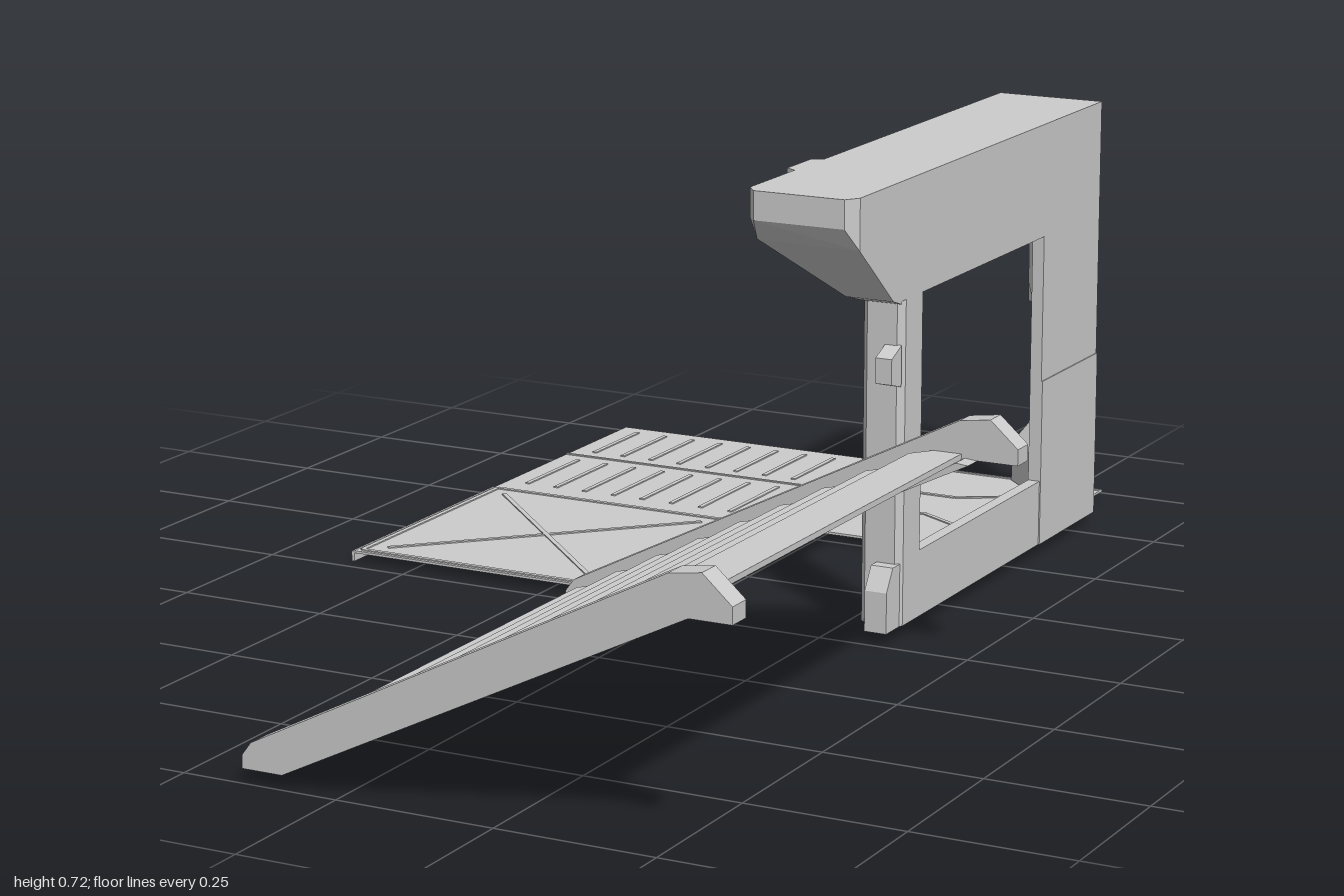
import * as THREE from 'three';
import { ConvexGeometry } from 'three/addons/geometries/ConvexGeometry.js';

const grey = new THREE.MeshStandardMaterial({ color: 0xcccccc, flatShading: true, side: THREE.DoubleSide });

function add(parent, name, geometry) {
  const mesh = new THREE.Mesh(geometry, grey);
  mesh.name = name;
  parent.add(mesh);
  return mesh;
}

// Box given by its minimum and maximum corners
function box(parent, name, x0, x1, y0, y1, z0, z1) {
  const mesh = add(parent, name, new THREE.BoxGeometry(x1 - x0, y1 - y0, z1 - z0));
  mesh.position.set((x0 + x1) / 2, (y0 + y1) / 2, (z0 + z1) / 2);
  return mesh;
}

const outline = (pts) => new THREE.Shape(pts.map((p) => new THREE.Vector2(p[0], p[1])));

// Outline in x and y, extruded from z0 to z1
function prism(parent, name, pts, z0, z1) {
  const g = new THREE.ExtrudeGeometry(outline(pts), { depth: z1 - z0, bevelEnabled: false });
  return add(parent, name, g.translate(0, 0, z0));
}

// Plan outline in x and z, extruded from y0 up to y1
function slab(parent, name, pts, y0, y1) {
  const g = new THREE.ExtrudeGeometry(outline(pts.map(([x, z]) => [x, -z])), { depth: y1 - y0, bevelEnabled: false });
  return add(parent, name, g.rotateX(-Math.PI / 2).translate(0, y0, 0));
}

function hull(parent, name, pts) {
  return add(parent, name, new ConvexGeometry(pts.map((p) => new THREE.Vector3(...p))));
}

function buildStairs() {
  const stairs = new THREE.Group();
  stairs.name = 'stairs';
  const side = [[-0.155, 0.02], [-0.155, 0.04], [-0.14, 0.06], [0.515, 0.393], [0.565, 0.4],
    [0.61, 0.36], [0.61, 0.335], [0.545, 0.335], [-0.09, 0.02]];
  const flange = [[-0.1, 0.02], [-0.09, 0.02], [0.545, 0.335], [0.525, 0.337], [-0.1, 0.027]];
  prism(stairs, 'stringer', side, 0.04, 0.077);
  prism(stairs, 'stringer', side, 0.957, 0.996);
  prism(stairs, 'stringerFlange', flange, 0.045, 0.11);
  prism(stairs, 'stringerFlange', flange, 0.933, 0.99);
  // Open treads with clipped front corners
  const run = 0.0706;
  for (let i = 0; i < 9; i++) {
    const x = -0.116 + i * run, y = 0.05 + i * 0.0355;
    slab(stairs, 'tread', [[x, 0.11], [x + 0.025, 0.078], [x + run, 0.078], [x + run, 0.956],
      [x + 0.025, 0.956], [x, 0.925]], y, y + 0.009);
  }
  return stairs;
}

function buildFloor() {
  const floor = new THREE.Group();
  floor.name = 'floor';
  const top = 0.018;
  slab(floor, 'floorPlate', [[-0.61, -0.96], [0.32, -0.96], [0.32, -0.495], [-0.15, -0.495],
    [-0.15, -0.03], [-0.61, -0.03]], 0.014, top);
  box(floor, 'edgeSkirt', -0.615, -0.61, 0, 0.017, -0.49, -0.03);

  // Thin raised strip between two plan points
  const strip = (name, x0, z0, x1, z1, w = 0.008) => {
    const m = add(floor, name, new THREE.BoxGeometry(Math.hypot(x1 - x0, z1 - z0), 0.002, w));
    m.position.set((x0 + x1) / 2, top + 0.001, (z0 + z1) / 2);
    m.rotation.y = -Math.atan2(z1 - z0, x1 - x0);
  };
  // Crossed panel
  strip('crossRib', -0.57, -0.45, -0.19, -0.07);
  strip('crossRib', -0.57, -0.07, -0.19, -0.45);
  strip('panelSeam', -0.6, -0.48, -0.16, -0.48);
  strip('panelSeam', -0.6, -0.04, -0.16, -0.04);
  strip('panelSeam', -0.6, -0.48, -0.6, -0.04);
  strip('panelSeam', -0.16, -0.48, -0.16, -0.04);
  // Two rows of ribs
  for (const [a, b] of [[-0.93, -0.77], [-0.71, -0.53]]) {
    for (let i = 0; i < 8; i++) strip('floorRib', -0.57 + i * 0.056, a, -0.57 + i * 0.056, b);
  }
  strip('panelSeam', -0.61, -0.74, -0.15, -0.74, 0.006);
  strip('panelSeam', -0.08, -0.83, -0.08, -0.63, 0.006);
  strip('panelSeam', -0.13, -0.95, 0.32, -0.95, 0.006);
  // Mirrored wavy ribs
  const wave = [[-0.08, 0.1], [-0.03, 0.1], [0.05, 0.06], [0.12, 0.06], [0.19, 0.1], [0.28, 0.1]];
  for (const s of [-1, 1]) {
    for (let i = 1; i < wave.length; i++) {
      strip('waveRib', wave[i - 1][0], -0.73 + s * wave[i - 1][1], wave[i][0], -0.73 + s * wave[i][1]);
    }
  }
  return floor;
}

function buildWall() {
  const wall = new THREE.Group();
  wall.name = 'wall';
  const out = 0.365;
  // Overhead beam with a sloping inner underside
  prism(wall, 'overheadBeam', [[out, 0.72], [0.183, 0.72], [0.183, 0.655], [0.295, 0.535], [out, 0.535]], -0.81, -0.04);
  hull(wall, 'beamShoulder', [[0.165, 0.72, -0.13], [0.165, 0.72, -0.05], [0.165, 0.63, -0.12], [0.165, 0.63, -0.05],
    [0.2, 0.72, -0.15], [0.2, 0.72, -0.03], [0.28, 0.53, -0.11], [0.295, 0.53, -0.04], [0.32, 0.56, -0.11], [0.32, 0.56, -0.04]]);
  // Overhanging beam nose
  const nose = [];
  for (const y of [0.72, 0.675]) {
    nose.push([0.183, y, -0.04], [out, y, -0.04], [0.183, y, 0.11], [0.2, y, 0.132], [0.35, y, 0.132], [out, y, 0.11]);
  }
  nose.push([0.19, 0.64, 0.1], [out, 0.64, 0.11], [0.183, 0.645, -0.04], [0.285, 0.54, -0.01],
    [out, 0.54, -0.01], [0.295, 0.53, -0.04], [out, 0.53, -0.04]);
  hull(wall, 'beamNose', nose);

  // Front post, back panel and sill frame the opening
  slab(wall, 'frontPost', [[0.295, -0.1], [0.295, -0.055], [0.305, -0.045], [0.355, -0.045], [out, -0.055],
    [out, -0.115], [0.31, -0.115]], 0.02, 0.54);
  box(wall, 'backPanel', 0.345, out, 0.02, 0.54, -0.81, -0.58);
  box(wall, 'lowerCladding', 0.36, 0.367, 0.02, 0.295, -0.81, -0.58);
  const sill = [[out, 0.02], [out, 0.127], [0.345, 0.127], [0.305, 0.088], [0.305, 0.02]];
  prism(wall, 'sill', sill, -0.81, -0.08);
  for (let i = 0; i < 3; i++) box(wall, 'panelRib', 0.34, 0.346, 0.2 + i * 0.04, 0.208 + i * 0.04, -0.79, -0.6);

  // Post foot and grip
  hull(wall, 'postFoot', [0.325, 0.362].flatMap((x) => [[x, 0.02, -0.05], [x, 0.02, -0.003], [x, 0.085, -0.003],
    [x, 0.12, -0.025], [x, 0.12, -0.05]]));
  hull(wall, 'postGrip', [0.335, 0.362].flatMap((x) => [[x, 0.4, -0.047], [x, 0.41, -0.012], [x, 0.45, -0.012], [x, 0.465, -0.047]]));

  // Wing turned 45 degrees from the back corner
  const wing = new THREE.Group();
  wing.name = 'angledWing';
  wing.position.set(out, 0, -0.81);
  wing.rotation.y = Math.PI * 0.75;
  const len = 0.264;
  prism(wing, 'wingPanel', [[0, 0.33], [len, 0.33], [len, 0.535], [0, 0.535]], -0.018, 0);
  prism(wing, 'wingInset', [[0.02, 0.37], [0.035, 0.345], [0.235, 0.345], [0.25, 0.365], [0.25, 0.505],
    [0.235, 0.525], [0.035, 0.525], [0.02, 0.505]], -0.024, -0.017);
  prism(wing, 'wingBracket', [[0, 0.535], [0.155, 0.535], [0.155, 0.55], [0.02, 0.675], [0, 0.68]], -0.03, -0.004);
  const base = add(wing, 'wingSill', new THREE.ExtrudeGeometry(
    outline([[0, 0.02], [0, 0.125], [0.02, 0.125], [0.055, 0.088], [0.055, 0.02]]),
    { depth: 0.235, bevelEnabled: false }));
  base.rotation.y = Math.PI / 2;
  wing.add(base);
  wall.add(wing);
  return wall;
}

export function createModel() {
  const model = new THREE.Group();
  model.name = 'stairsAndFrame';
  model.add(buildStairs(), buildFloor(), buildWall());
  return model;
}
